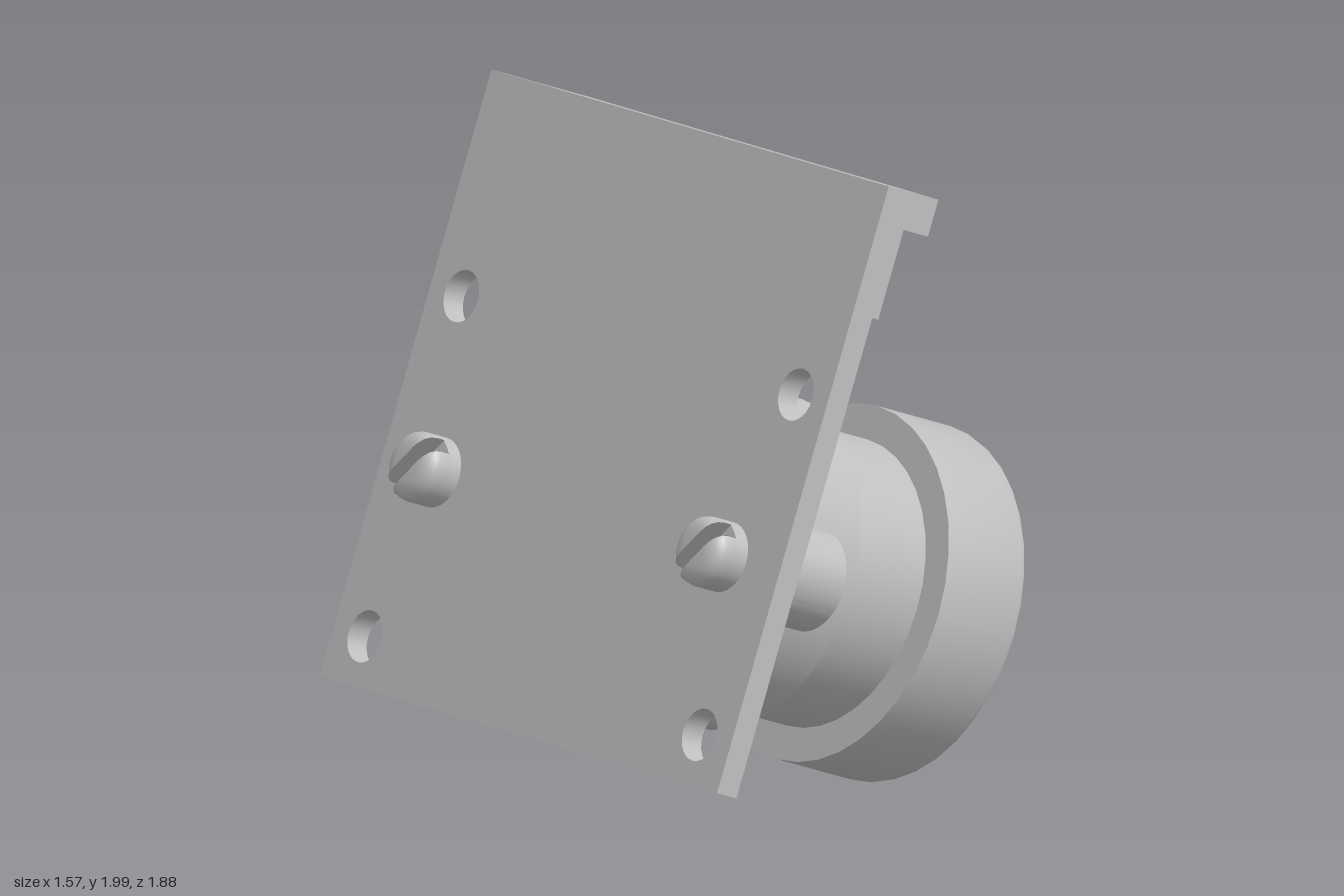
import * as THREE from 'three';
import { toCreasedNormals } from 'three/addons/utils/BufferGeometryUtils.js';

const AXIS = 0.654; // height of the lens axis along the board

export function createModel() {
  const grey = new THREE.MeshStandardMaterial({ color: 0xbfbfbf });
  grey.name = 'moulded grey';

  const model = new THREE.Group();
  model.name = 'cameraModule';

  // Tilted frame: x across the board, y up the board, z out along the lens
  const tilted = new THREE.Group();
  tilted.name = 'tiltedAssembly';
  const s = Math.sin(Math.PI / 9), c = Math.cos(Math.PI / 9);
  tilted.quaternion.setFromRotationMatrix(new THREE.Matrix4().makeBasis(
    new THREE.Vector3(0, 0, -1), new THREE.Vector3(s, c, 0), new THREE.Vector3(c, -s, 0)));
  tilted.position.set(-0.785, 0.307, 0);
  model.add(tilted);

  const add = (name, geometry, parent = tilted) => {
    const mesh = new THREE.Mesh(geometry, grey);
    mesh.name = name;
    parent.add(mesh);
    return mesh;
  };

  const roundedRect = (hw, hh, r, cy) => {
    const q = Math.PI / 2, x = hw - r, y = hh - r, p = new THREE.Shape();
    p.absarc(x, cy + y, r, 0, q);
    p.absarc(-x, cy + y, r, q, 2 * q);
    p.absarc(-x, cy - y, r, 2 * q, 3 * q);
    p.absarc(x, cy - y, r, 3 * q, 4 * q);
    p.closePath();
    return p;
  };

  const rect = (x0, y0, x1, y1, Type = THREE.Shape) => new Type([
    new THREE.Vector2(x0, y0), new THREE.Vector2(x1, y0),
    new THREE.Vector2(x1, y1), new THREE.Vector2(x0, y1)]);

  const extrude = (shape, from, to) => toCreasedNormals(
    new THREE.ExtrudeGeometry(shape, { depth: to - from, bevelEnabled: false, curveSegments: 12 })
      .translate(0, 0, from), 0.4);

  // Circuit board with four corner holes
  const board = rect(-0.938, 0, 0.938, 1.803);
  for (const x of [-0.79, 0.79]) {
    for (const y of [0.146, 1.157]) {
      const hole = new THREE.Path();
      hole.absarc(x, y, 0.077, 0, Math.PI * 2, true);
      board.holes.push(hole);
    }
  }
  add('circuitBoard', extrude(board, 0, 0.074));

  // Cable connector: body below, wider slotted flange above
  add('connectorBody', new THREE.BoxGeometry(1.44, 0.268, 0.2).translate(0, 1.559, 0.174));
  const flange = rect(-0.833, -0.275, 0.833, -0.073);
  flange.holes.push(rect(-0.61, -0.187, 0.61, -0.159, THREE.Path));
  add('connectorFlange', extrude(flange, 1.693, 1.803).rotateX(-Math.PI / 2));

  // Lens holder block and its side ears
  add('holderBlock', extrude(roundedRect(0.495, 0.491, 0.09, AXIS), 0.07, 0.34));
  add('mountingEars', extrude(roundedRect(0.825, 0.147, 0.1469, AXIS), 0.07, 0.337));

  // Collar with four shallow grip notches
  const collar = new THREE.Shape();
  const outer = 0.49, inner = 0.465, half = 0.075;
  const a = Math.asin(half / outer), b = Math.asin(half / inner);
  for (let i = 0; i < 4; i++) {
    const t = i * Math.PI / 2;
    collar.absarc(0, AXIS, inner, t - b, t + b);
    collar.absarc(0, AXIS, outer, t + a, t + Math.PI / 2 - a);
  }
  collar.closePath();
  add('collar', extrude(collar, 0.33, 0.637));

  // Turned lens parts, profiles as [radius, distance from board back]
  const turned = (name, profile) => add(name, toCreasedNormals(
    new THREE.LatheGeometry(profile.map(([r, h]) => new THREE.Vector2(r, h)), 36)
      .rotateX(Math.PI / 2).translate(0, AXIS, 0), 0.4));
  turned('lensBarrel', [[0.425, 0.6], [0.425, 0.96]]);
  turned('lensCap', [[0.4, 0.942], [0.525, 0.942], [0.525, 1.22], [0.52, 1.235],
    [0.505, 1.242], [0.375, 1.284]]);
  const dome = [];
  for (let i = 0; i <= 6; i++) {
    const r = 0.375 * (1 - i / 6);
    dome.push([r, 0.674 + Math.sqrt(0.716 ** 2 - r * r)]);
  }
  turned('lensGlass', dome);

  // Slotted screw heads on the back of the board
  const SLOT = 0.025;
  const headProfile = [[0.103, 0.045], [0.103, 0.075], [0.099, 0.093], [0.087, 0.108],
    [0.07, 0.117], [0.05, 0.12], [0, 0.12]].map(([r, h]) => new THREE.Vector2(r, h));
  const halfHead = new THREE.LatheGeometry(headProfile, 18, 0, Math.PI);
  const pos = halfHead.attributes.position;
  for (let i = 0; i < pos.count; i++) pos.setX(i, Math.max(pos.getX(i), SLOT));
  const headGeometry = toCreasedNormals(halfHead, 0.6).rotateX(-Math.PI / 2);
  const mirrored = headProfile.slice(0, -1).reverse().map(p => new THREE.Vector2(-p.x, p.y));
  const wallGeometry = new THREE.ShapeGeometry(new THREE.Shape([...headProfile, ...mirrored]))
    .rotateY(-Math.PI / 2).translate(SLOT, 0, 0).rotateX(-Math.PI / 2);
  for (const side of [-1, 1]) {
    const screw = new THREE.Group();
    screw.name = side < 0 ? 'frontScrew' : 'rearScrew';
    screw.position.set(side * 0.678, AXIS, 0);
    screw.rotation.z = 0.7;
    tilted.add(screw);
    add('screwBase', new THREE.CylinderGeometry(0.103, 0.103, 0.055, 36)
      .rotateX(Math.PI / 2).translate(0, 0, -0.0175), screw);
    for (const turn of [0, Math.PI]) {
      add('screwHeadHalf', headGeometry, screw).rotation.z = turn;
      add('slotWall', wallGeometry, screw).rotation.z = turn;
    }
  }
  return model;
}
